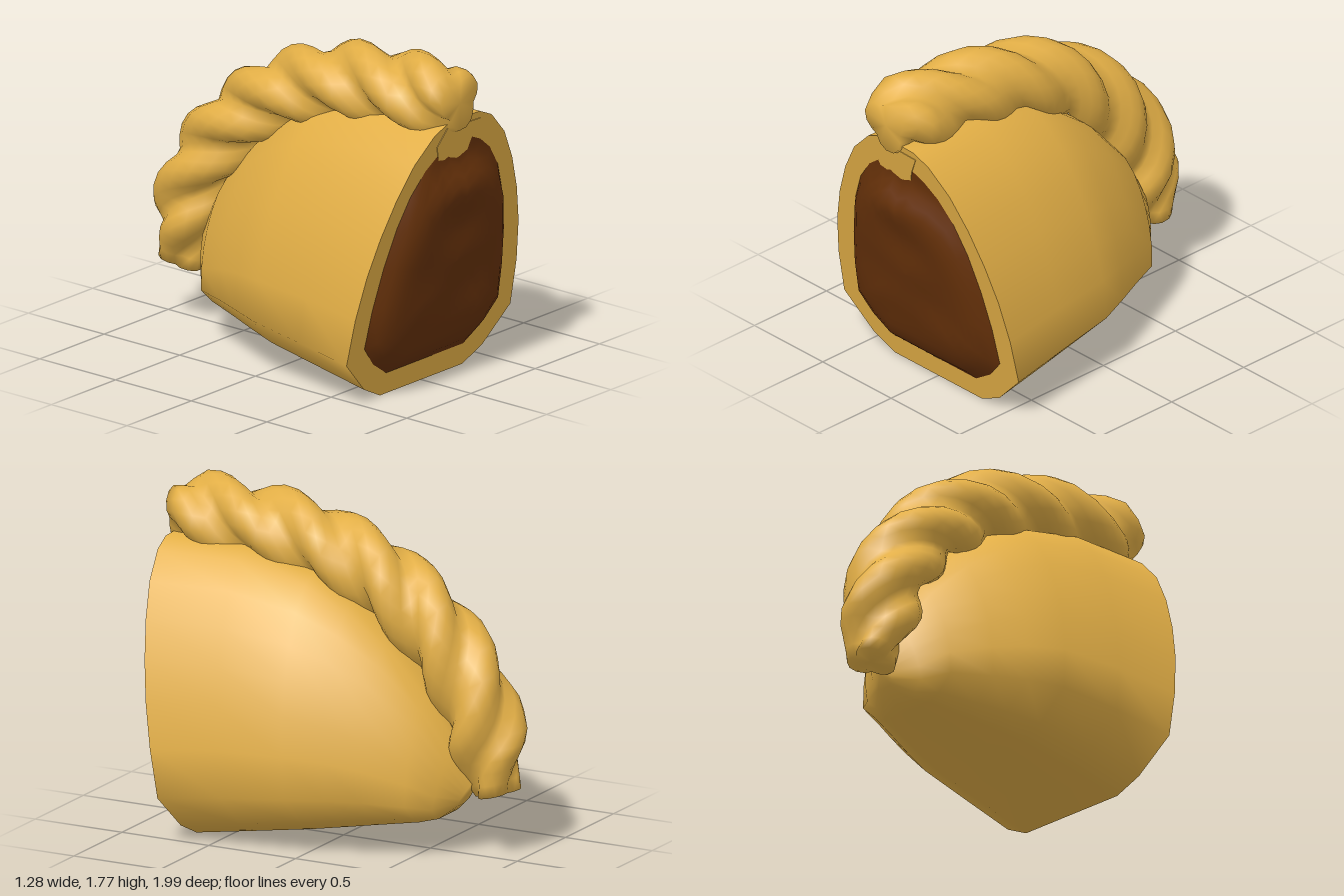
import * as THREE from 'three';

const crust = new THREE.MeshStandardMaterial({ color: 0xe3af46 });
crust.name = 'golden crust';
const meat = new THREE.MeshStandardMaterial({ color: 0x643009 });
meat.name = 'brown filling';

// Skin a list of closed rings (each a list of Vector3) with shared, smooth vertices
function loft(rings) {
  const n = rings[0].length, pos = [], idx = [];
  rings.forEach(r => r.forEach(p => pos.push(p.x, p.y, p.z)));
  for (let i = 0; i < rings.length - 1; i++) {
    for (let j = 0; j < n; j++) {
      const k = (j + 1) % n;
      const a = i * n + j, b = i * n + k, c = b + n, d = a + n;
      idx.push(a, b, c, a, c, d);
    }
  }
  const g = new THREE.BufferGeometry();
  g.setAttribute('position', new THREE.Float32BufferAttribute(pos, 3));
  g.setIndex(idx);
  g.computeVertexNormals();
  return g;
}

// Half outline -> full closed outline, running bottom, -x side, top, +x side
const mirror = half => [
  ...half.map(([x, y]) => [-x, y]),
  ...half.slice(1, -1).reverse(),
];
const collapse = ring => {
  const c = ring.reduce((s, p) => s.add(p), new THREE.Vector3()).divideScalar(ring.length);
  return ring.map(() => c.clone());
};

const W = 0.638, H = 1.47;
const outer = mirror([[0, 0], [0.32, 0], [0.46, 0.07], [W, 0.25], [0.628, 0.5], [0.59, 0.73],
  [0.53, 0.93], [0.45, 1.12], [0.35, 1.29], [0.22, 1.42], [0.12, 1.465], [0, H]]);
const inner = mirror([[0, 0.12], [0.3, 0.12], [0.42, 0.2], [0.513, 0.31], [0.5, 0.52], [0.465, 0.74],
  [0.41, 0.95], [0.34, 1.11], [0.25, 1.23], [0.16, 1.3], [0.08, 1.335], [0, 1.3]]);

// Leaning plane of the cut face
const faceZ = y => 0.67 + 0.197 * y;

export function createModel() {
  const model = new THREE.Group();
  const add = (geometry, material, name) => {
    const m = new THREE.Mesh(geometry, material);
    m.name = name;
    model.add(m);
    return m;
  };

  // Pastry shell: bottom z, bottom y, top z, top y, half width
  const stations = [
    [0.67, 0, 0.96, 1.47, W],
    [0.35, 0.048, 0.5, 1.465, 0.603],
    [0.02, 0.098, 0.12, 1.38, 0.56],
    [-0.16, 0.125, -0.1, 1.26, 0.485],
    [-0.32, 0.148, -0.31, 1.1, 0.405],
    [-0.52, 0.176, -0.53, 0.85, 0.308],
    [-0.6, 0.19, -0.68, 0.6, 0.19],
    [-0.68, 0.255, -0.755, 0.38, 0.06],
  ];
  const shell = stations.map(([zb, yb, zt, yt, w]) => outer.map(([x, y]) => {
    const v = y / H;
    return new THREE.Vector3(x * w / W, yb + (yt - yb) * v, zb + (zt - zb) * v);
  }));
  shell.push(collapse(shell[shell.length - 1]));
  add(loft(shell), crust, 'pastryShell');

  // Flat cut rim
  const onFace = outline => outline.map(([x, y]) => new THREE.Vector3(x, y, faceZ(y)));
  add(loft([onFace(inner), onFace(outer)]), crust, 'cutRim');

  // Lumpy bulging filling, rings growing from the middle to the rim
  const fill = [];
  for (let i = 0; i <= 12; i++) {
    const t = i / 12;
    fill.push(inner.map(([px, py]) => {
      const x = px * t, y = 0.68 + (py - 0.68) * t;
      const bump = 0.008 * Math.sin(9 * x + 2) * Math.sin(13 * y) + 0.005 * Math.sin(19 * y + 5 * x);
      const fade = THREE.MathUtils.smoothstep(1.27 - y, 0, 0.18);
      const bulge = (0.09 * (1 - t ** 7) + bump * (1 - t ** 8)) * fade;
      return new THREE.Vector3(x, y, faceZ(y) + bulge);
    }));
  }
  add(loft(fill), meat, 'filling');

  // Dough flap hanging over the top of the filling, almost flush with the rim
  const flap = new THREE.Shape([[-0.13, 1.44], [-0.19, 1.35], [-0.16, 1.27], [0.02, 1.235],
    [0.06, 1.26], [0.08, 1.33], [0.13, 1.43]].map(([x, y]) => new THREE.Vector2(x, y * 1.019)));
  const flapMesh = add(new THREE.ExtrudeGeometry(flap, { depth: 0.025, bevelEnabled: false }), crust, 'doughFlap');
  flapMesh.rotation.x = Math.atan(0.197);
  flapMesh.position.z = 0.648;

  // Twisted rope crust along the ridge: three strands winding about a curve
  const path = new THREE.CatmullRomCurve3([[1.56, 0.982], [1.565, 0.85], [1.545, 0.6], [1.535, 0.37],
    [1.47, 0.1], [1.39, -0.13], [1.25, -0.35], [1.09, -0.53], [0.9, -0.67], [0.7, -0.765],
    [0.5, -0.805], [0.32, -0.845]].map(([y, z]) => new THREE.Vector3(-0.06, y, z)));
  const X = new THREE.Vector3(1, 0, 0);
  const steps = 40, sides = 18, turns = 2.1;
  const rope = [];
  for (let i = 0; i <= steps; i++) {
    const s = i / steps;
    const c = path.getPointAt(s), N = X.clone().cross(path.getTangentAt(s));
    const taper = 1 - 0.3 * (1 - THREE.MathUtils.smoothstep(s, 0, 0.05))
      - 0.4 * THREE.MathUtils.smoothstep(s, 0.88, 1);
    rope.push(Array.from({ length: sides }, (_, j) => {
      const a = j / sides * Math.PI * 2;
      const lobe = Math.abs(Math.cos(1.5 * (a - Math.PI / 2 - turns * Math.PI * 2 * (s - 0.06))));
      const r = (0.14 + 0.078 * lobe) * taper;
      return c.clone().addScaledVector(N, r * Math.cos(a)).addScaledVector(X, r * Math.sin(a));
    }));
  }
  rope.unshift(collapse(rope[0]));
  rope.push(collapse(rope[rope.length - 1]));
  add(loft(rope), crust, 'twistedCrust');

  return model;
}
